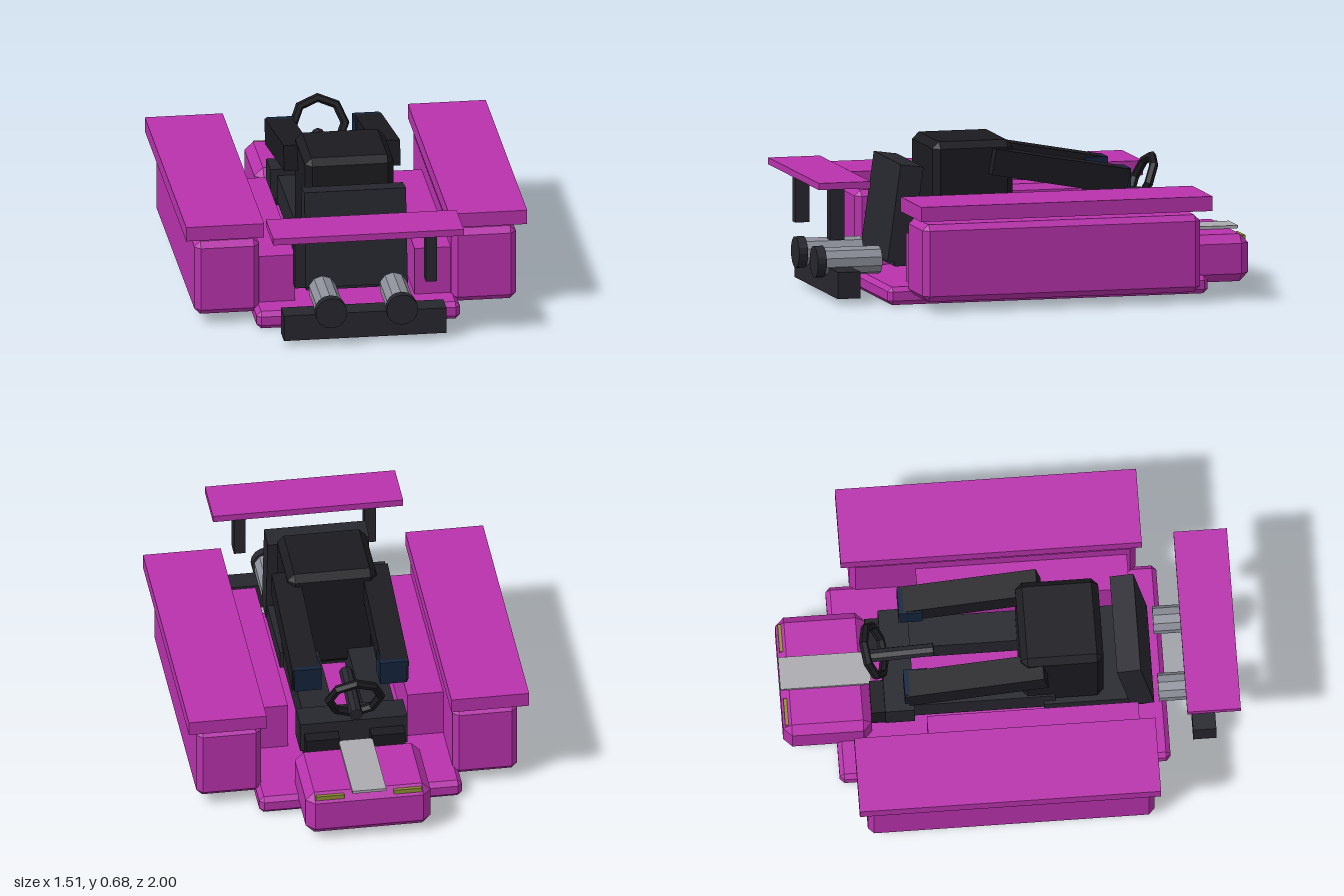
import * as THREE from 'three';
import { ConvexGeometry } from 'three/addons/geometries/ConvexGeometry.js';

const paint = (color) => new THREE.MeshStandardMaterial({ color, flatShading: true });

export function createModel() {
  const kart = new THREE.Group();
  kart.name = 'kart';
  const magenta = paint(0xb832ac), dark = paint(0x26262e), black = paint(0x1b1b20);
  const metal = paint(0x8c8f99), silver = paint(0xaaaab0), navy = paint(0x14243c), lamp = paint(0x8f8f35);

  const add = (name, geometry, material, x = 0, y = 0, z = 0, rx = 0) => {
    const mesh = new THREE.Mesh(geometry, material);
    mesh.name = name;
    mesh.position.set(x, y, z);
    mesh.rotation.x = rx;
    kart.add(mesh);
    return mesh;
  };

  // Plain box given by its extents on each axis
  const box = (name, material, [x0, x1], [y0, y1], [z0, z1]) =>
    add(name, new THREE.BoxGeometry(x1 - x0, y1 - y0, z1 - z0), material,
      (x0 + x1) / 2, (y0 + y1) / 2, (z0 + z1) / 2);

  // Box with a single bevel of size c on every edge
  const bevelBox = (name, material, [x0, x1], [y0, y1], [z0, z1], c) => {
    const h = [(x1 - x0) / 2, (y1 - y0) / 2, (z1 - z0) / 2];
    const points = [];
    for (const sx of [-1, 1]) for (const sy of [-1, 1]) for (const sz of [-1, 1])
      for (let full = 0; full < 3; full++) {
        const p = h.map((v, i) => (i === full ? v : v - c));
        points.push(new THREE.Vector3(sx * p[0], sy * p[1], sz * p[2]));
      }
    return add(name, new ConvexGeometry(points), material,
      (x0 + x1) / 2, (y0 + y1) / 2, (z0 + z1) / 2);
  };

  // Body
  bevelBox('floorPan', magenta, [-0.45, 0.45], [0, 0.08], [-0.765, 0.69], 0.02);
  bevelBox('nose', magenta, [-0.277, 0.277], [0.02, 0.23], [-1, -0.61], 0.038);
  box('noseStripe', silver, [-0.075, 0.075], [0.23, 0.243], [-1, -0.6]);

  // Seat, head and torso
  add('seatBack', new THREE.BoxGeometry(0.45, 0.43, 0.105), dark, 0, 0.37, 0.552, -0.14);
  box('seatCushion', dark, [-0.22, 0.22], [0.14, 0.22], [0.15, 0.6]);
  bevelBox('torso', black, [-0.197, 0.197], [0.2, 0.677], [0.05, 0.415], 0.03);

  // Dashboard and steering
  box('dashboard', dark, [-0.238, 0.238], [0.17, 0.31], [-0.55, -0.42]);
  add('steeringColumn', new THREE.CylinderGeometry(0.03, 0.03, 0.3, 8), dark, 0, 0.4, -0.47, Math.PI / 2 - 0.1);
  add('steeringWheel', new THREE.TorusGeometry(0.115, 0.02, 6, 8), black, 0, 0.45, -0.583, -0.41);

  // Paired parts
  for (const s of [-1, 1]) {
    const side = s > 0 ? 'left' : 'right';
    const span = (a, b) => (s > 0 ? [a, b] : [-b, -a]);
    bevelBox(side + 'SidePod', magenta, span(0.425, 0.712), [0.045, 0.387], [-0.66, 0.6], 0.026);
    box(side + 'PodCover', magenta, span(0.41, 0.755), [0.41, 0.475], [-0.7, 0.625]);
    box(side + 'InnerPanel', magenta, span(0.265, 0.43), [0.07, 0.295], [-0.37, 0.56]);
    box(side + 'Headlight', lamp, span(0.11, 0.235), [0.19, 0.222], [-0.99, -0.975]);

    box(side + 'Leg', dark, span(0.065, 0.205), [0.15, 0.28], [-0.5, 0.2]);
    box(side + 'Boot', black, span(0.07, 0.22), [0.13, 0.26], [-0.61, -0.45]);
    add(side + 'Arm', new THREE.BoxGeometry(0.12, 0.115, 0.62), black, s * 0.198, 0.535, -0.148, -0.18);
    box(side + 'Glove', navy, span(0.13, 0.25), [0.43, 0.54], [-0.465, -0.36]);

    const pipe = (name, r, n, z0, z1, material) =>
      add(name, new THREE.CylinderGeometry(r, r, z1 - z0, n), material, s * 0.157, 0.165, (z0 + z1) / 2, Math.PI / 2);
    pipe(side + 'ExhaustPipe', 0.062, 10, 0.655, 0.92, metal);
    pipe(side + 'ExhaustTip', 0.07, 16, 0.91, 0.95, dark);
    box(side + 'WingPost', dark, span(0.265, 0.315), [0.28, 0.525], [0.855, 0.92]);
  }

  // Rear end
  box('rearBumper', dark, [-0.36, 0.36], [0.025, 0.143], [0.795, 0.897]);
  box('rearWing', magenta, [-0.422, 0.422], [0.52, 0.55], [0.765, 1]);

  return kart;
}
